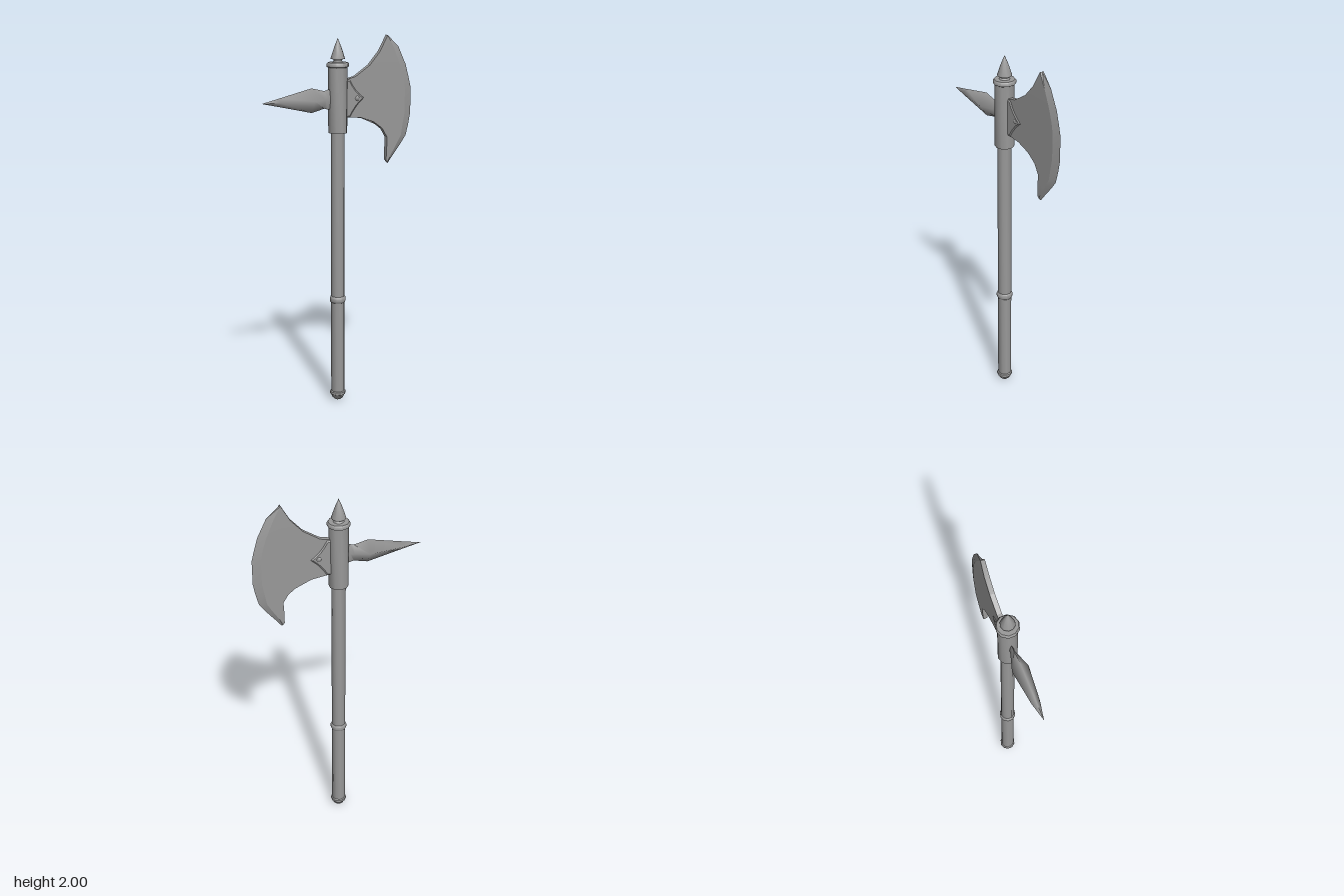
import * as THREE from 'three';
import { toCreasedNormals } from 'three/addons/utils/BufferGeometryUtils.js';

const material = new THREE.MeshStandardMaterial({ color: 0x999999 });
const AXIS_X = -0.005; // the handle sits a touch off centre
const HEAD_Y = 1.676;

function part(name, geometry, x = 0, y = 0, z = 0) {
  const mesh = new THREE.Mesh(geometry, material);
  mesh.name = name;
  mesh.position.set(x, y, z);
  return mesh;
}

// Turned part with ten sides; profile points are [radius, y] from bottom to top
function turned(name, profile) {
  const points = profile.map(([r, y]) => new THREE.Vector2(r, y));
  return part(name, toCreasedNormals(new THREE.LatheGeometry(points, 10), 0.7), AXIS_X);
}

// Skin over matching cross-sections, closed at both ends, smooth below the crease angle
function loft(sections, crease) {
  const positions = [];
  const tri = (a, b, c) => positions.push(...a, ...b, ...c);
  const n = sections[0].length;
  for (let s = 0; s < sections.length - 1; s++) {
    const a = sections[s], b = sections[s + 1];
    for (let i = 0; i < n; i++) {
      const j = (i + 1) % n;
      tri(a[i], a[j], b[j]);
      tri(a[i], b[j], b[i]);
    }
  }
  const first = sections[0], last = sections[sections.length - 1];
  for (let i = 1; i < n - 1; i++) {
    tri(first[0], first[i + 1], first[i]);
    tri(last[0], last[i], last[i + 1]);
  }
  const geometry = new THREE.BufferGeometry();
  geometry.setAttribute('position', new THREE.Float32BufferAttribute(positions, 3));
  geometry.computeVertexNormals();
  return toCreasedNormals(geometry, crease);
}

// Crescent blade: each row is back x, y, bevel x, y, edge x, y, half thickness
function bladeGeometry() {
  const rows = [
    [0.291, 2.0, 0.292, 2.0, 0.296, 2.0, 0.011],
    [0.243, 1.915, 0.33, 1.93, 0.364, 1.937, 0.013],
    [0.18, 1.845, 0.368, 1.84, 0.411, 1.84, 0.013],
    [0.095, 1.79, 0.39, 1.77, 0.432, 1.765, 0.013],
    [0.03, 1.775, 0.4, 1.715, 0.444, 1.715, 0.013],
    [0.03, 1.58, 0.4, 1.58, 0.444, 1.58, 0.013],
    [0.13, 1.57, 0.39, 1.53, 0.433, 1.52, 0.013],
    [0.207, 1.543, 0.378, 1.46, 0.417, 1.457, 0.013],
    [0.26, 1.505, 0.358, 1.425, 0.391, 1.42, 0.013],
    [0.292, 1.453, 0.337, 1.39, 0.362, 1.383, 0.013],
    [0.289, 1.39, 0.317, 1.36, 0.337, 1.353, 0.013],
    [0.288, 1.328, 0.297, 1.318, 0.302, 1.308, 0.01],
  ];
  return loft(rows.map(([x, y, bx, by, ex, ey, t]) => [
    [x, y, -t], [bx, by, -t], [ex, ey, 0], [bx, by, t], [x, y, t],
  ]), 0.25);
}

// Back spike: softened diamond sections given as x, half height, half depth
function spikeGeometry() {
  const rows = [
    [-0.03, 0.055, 0.012],
    [-0.065, 0.052, 0.012],
    [-0.085, 0.046, 0.018],
    [-0.16, 0.064, 0.043],
    [-0.345, 0.022, 0.022],
    [-0.445, 0, 0],
  ];
  return loft(rows.map(([x, h, d]) => [[x, h, 0], [x, 0, -d], [x, -h, 0], [x, 0, d]]), 2.2);
}

// Thin pointed plate with bevelled rim, lying over the root of the blade on both faces
function plateGeometry() {
  const shape = new THREE.Shape();
  shape.moveTo(0.03, 0.092);
  shape.lineTo(0.057, 0.09);
  shape.quadraticCurveTo(0.088, 0.03, 0.135, 0);
  shape.quadraticCurveTo(0.088, -0.035, 0.057, -0.092);
  shape.lineTo(0.03, -0.092);
  const depth = 0.026;
  return new THREE.ExtrudeGeometry(shape, {
    depth, curveSegments: 4, bevelThickness: 0.005, bevelSize: 0.007, bevelSegments: 1,
  }).translate(0, 0, -depth / 2);
}

export function createModel() {
  const model = new THREE.Group();
  model.name = 'battleAxe';

  // Handle with its rounded butt and grip ring
  model.add(turned('shaft', [[0, 0.03], [0.037, 0.03], [0.037, 1.52], [0, 1.52]]));
  model.add(turned('butt', [
    [0, 0], [0.018, 0.004], [0.031, 0.016], [0.038, 0.034],
    [0.043, 0.037], [0.043, 0.05], [0.036, 0.055],
  ]));
  model.add(turned('gripRing', [
    [0.035, 0.564], [0.041, 0.568], [0.044, 0.575], [0.044, 0.591], [0.041, 0.598], [0.035, 0.602],
  ]));

  // Socket, collar and pointed finial
  model.add(turned('socket', [[0.034, 1.498], [0.051, 1.498], [0.051, 1.848], [0, 1.848]]));
  model.add(turned('collar', [
    [0.05, 1.841], [0.059, 1.846], [0.059, 1.862], [0.054, 1.868], [0, 1.868],
  ]));
  model.add(turned('finial', [
    [0.03, 1.866], [0.022, 1.876], [0.023, 1.883], [0.038, 1.886], [0.037, 1.893],
    [0.018, 1.95], [0, 1.993],
  ]));

  // Axe head
  model.add(part('blade', bladeGeometry()));
  model.add(part('backSpike', spikeGeometry(), 0, HEAD_Y));
  model.add(part('rootPlate', plateGeometry(), 0, HEAD_Y));
  const rivet = part('rivet', new THREE.SphereGeometry(0.022, 8, 6), 0.103, HEAD_Y);
  rivet.scale.z = 1.1;
  model.add(rivet);

  return model;
}
